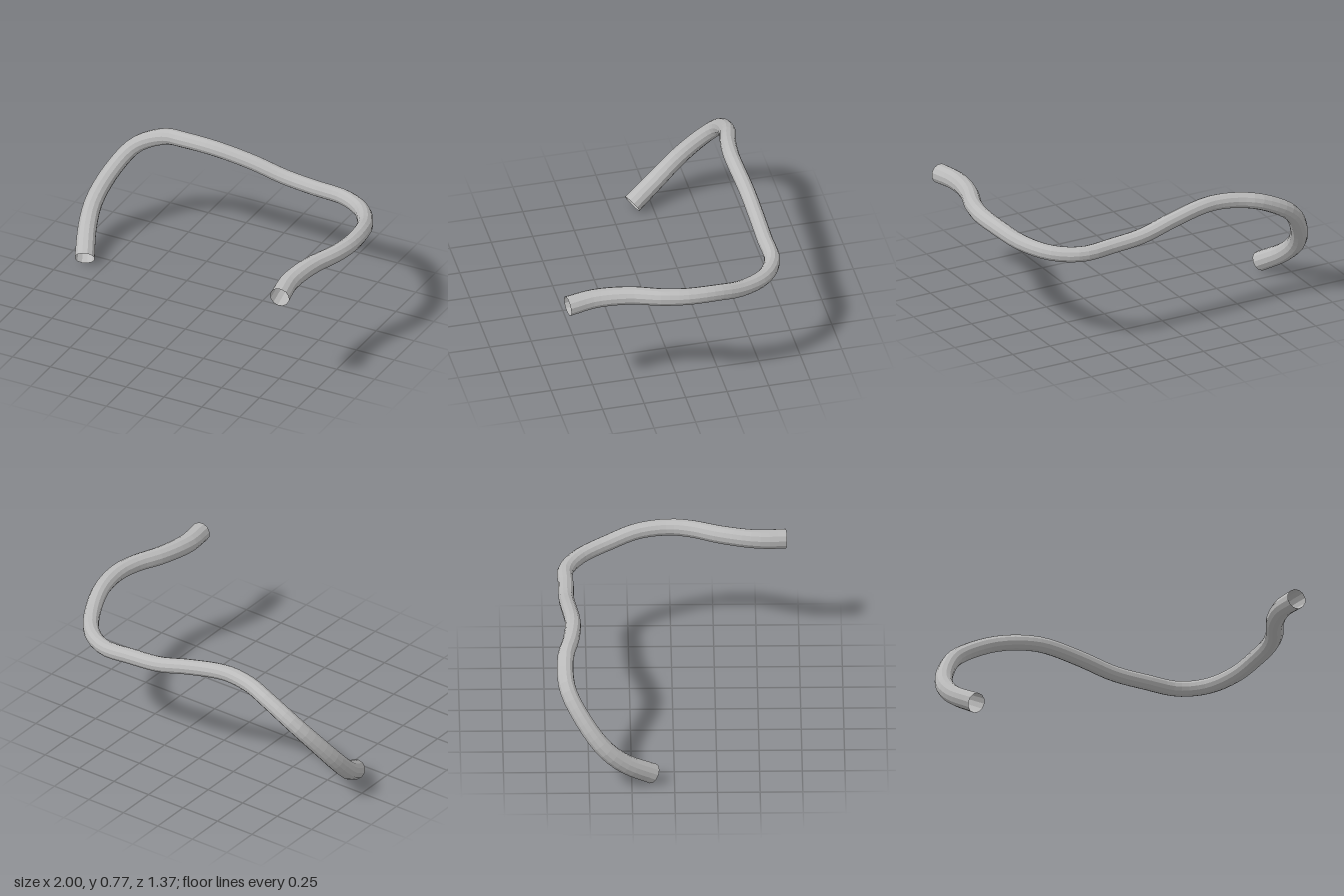
import * as THREE from 'three';

const STEPS = 72;
const SIDES = 12;

// Centre line of the hose, from the low end to the raised end
const path = new THREE.CatmullRomCurve3([
  [-0.86, 0.058, -0.125], [-0.93, 0.168, -0.295], [-0.947, 0.275, -0.41],
  [-0.895, 0.43, -0.53], [-0.783, 0.588, -0.625], [-0.59, 0.695, -0.633],
  [-0.45, 0.725, -0.602], [-0.3, 0.735, -0.587], [-0.2, 0.728, -0.59],
  [0, 0.692, -0.608], [0.2, 0.643, -0.62], [0.4, 0.623, -0.62],
  [0.6, 0.612, -0.618], [0.755, 0.618, -0.53], [0.867, 0.643, -0.365],
  [0.927, 0.683, -0.2], [0.945, 0.7, -0.02], [0.92, 0.702, 0.12],
  [0.853, 0.697, 0.3], [0.82, 0.686, 0.505], [0.842, 0.675, 0.672],
].map((p) => new THREE.Vector3(...p)));

// The hose is slimmest in the middle and swells towards both ends
const radiusAt = (u) => 0.0465 + 0.0135 * Math.abs(2 * u - 1) ** 2.5;

function hoseGeometry() {
  const geometry = new THREE.TubeGeometry(path, STEPS, 1, SIDES, false);
  const position = geometry.attributes.position;
  const v = new THREE.Vector3();
  for (let i = 0; i <= STEPS; i++) {
    const centre = path.getPointAt(i / STEPS);
    for (let j = 0; j <= SIDES; j++) {
      const k = i * (SIDES + 1) + j;
      v.fromBufferAttribute(position, k).sub(centre).multiplyScalar(radiusAt(i / STEPS)).add(centre);
      position.setXYZ(k, v.x, v.y, v.z);
    }
  }
  geometry.computeVertexNormals();
  return geometry;
}

export function createModel() {
  const group = new THREE.Group();
  group.name = 'bentHose';
  const grey = new THREE.MeshStandardMaterial({
    name: 'grey', color: 0xbababa, flatShading: true, side: THREE.DoubleSide,
  });
  // Open-ended bent tube
  const hose = new THREE.Mesh(hoseGeometry(), grey);
  hose.name = 'hose';
  group.add(hose);
  return group;
}
